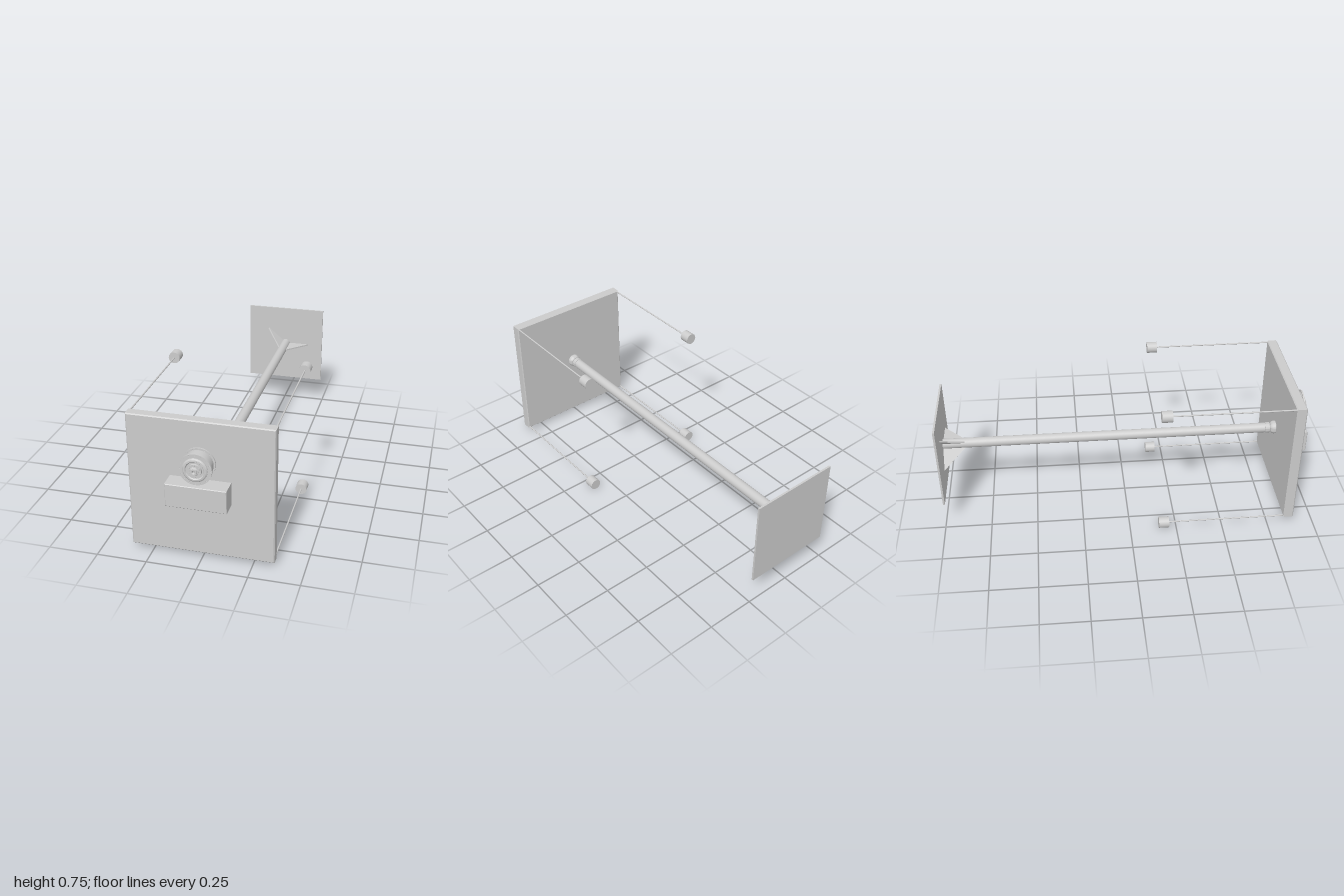
import * as THREE from 'three';
import { toCreasedNormals } from 'three/addons/utils/BufferGeometryUtils.js';

const material = new THREE.MeshStandardMaterial({ color: 0xcccccc, side: THREE.DoubleSide });

function add(parent, name, geometry, x = 0, y = 0, z = 0) {
  const mesh = new THREE.Mesh(geometry, material);
  mesh.name = name;
  mesh.position.set(x, y, z);
  parent.add(mesh);
  return mesh;
}

// Cylinder lying along z, from z0 to z1
function rod(parent, name, radius, x, y, z0, z1, sides = 32) {
  const g = new THREE.CylinderGeometry(radius, radius, z1 - z0, sides).rotateX(Math.PI / 2);
  return add(parent, name, g, x, y, (z0 + z1) / 2);
}

// Profile of [radius, z] points turned around the z axis
function turned(parent, name, points, y) {
  const profile = points.map(([r, z]) => new THREE.Vector2(r, z));
  const g = new THREE.LatheGeometry(profile, 48).rotateX(Math.PI / 2);
  return add(parent, name, toCreasedNormals(g, 0.5), 0, y, 0);
}

// Box with chamfered edges, spanning z0 to z1
function chamferedBox(parent, name, width, height, y, z0, z1, c) {
  const w = width / 2 - c, h = height / 2 - c;
  const shape = new THREE.Shape([[-w, -h], [w, -h], [w, h], [-w, h]].map(p => new THREE.Vector2(...p)));
  const g = new THREE.ExtrudeGeometry(shape, {
    depth: z1 - z0 - 2 * c, bevelEnabled: true, bevelSize: c, bevelThickness: c, bevelSegments: 1,
  });
  return add(parent, name, g, 0, y, z0 + c);
}

// Flat ring with a circle of small bolt holes
function drilledRing(parent, name, outer, inner, holeCircle, holeRadius, count, y, z, depth) {
  const shape = new THREE.Shape().absarc(0, 0, outer, 0, Math.PI * 2);
  shape.holes.push(new THREE.Path().absarc(0, 0, inner, 0, Math.PI * 2, true));
  for (let i = 0; i < count; i++) {
    const a = i / count * Math.PI * 2;
    shape.holes.push(new THREE.Path().absarc(
      Math.cos(a) * holeCircle, Math.sin(a) * holeCircle, holeRadius, 0, Math.PI * 2, true));
  }
  const g = new THREE.ExtrudeGeometry(shape, { depth, bevelEnabled: false, curveSegments: 24 });
  return add(parent, name, toCreasedNormals(g, 0.6), 0, y, z);
}

export function createModel() {
  const model = new THREE.Group();
  model.name = 'plateAssembly';
  const shaftY = 0.38, hubY = 0.525;

  // Front plate and the block mounted on it
  chamferedBox(model, 'frontPlate', 0.708, 0.706, 0.377, 0.843, 0.897, 0.005);
  chamferedBox(model, 'frontBlock', 0.295, 0.118, 0.377, 0.895, 0.983, 0.003);

  // Corner rods with end weights
  for (const x of [-0.346, 0.346]) {
    for (const y of [0.03, 0.724]) {
      rod(model, 'cornerRod', 0.004, x, y, 0.2, 0.846, 12);
      rod(model, 'cornerWeight', 0.03, x, y, 0.155, 0.21);
    }
  }

  // Long shaft, with collar and ball joint at the front plate
  rod(model, 'shaft', 0.027, 0, shaftY, -0.995, 0.79);
  turned(model, 'shaftCollar', [
    [0, 0.783], [0.029, 0.783], [0.029, 0.806], [0.024, 0.812], [0.021, 0.818], [0, 0.818],
  ], shaftY);
  turned(model, 'ballJoint', [
    [0, 0.812], [0.026, 0.814], [0.033, 0.822], [0.036, 0.831], [0.035, 0.84], [0.03, 0.845], [0, 0.845],
  ], shaftY);

  // Back plate and its three triangular gussets
  add(model, 'backPlate', new THREE.BoxGeometry(0.472, 0.472, 0.01), 0, shaftY, -0.995);
  for (const degrees of [0, 140, 239]) {
    const shape = new THREE.Shape();
    shape.moveTo(0.02, 0).lineTo(0.148, 0).lineTo(0.027, 0.12).lineTo(0.02, 0.12);
    const g = new THREE.ExtrudeGeometry(shape, { depth: 0.008, bevelEnabled: false })
      .translate(0, 0, -0.004).rotateX(Math.PI / 2);
    const gusset = add(model, 'gusset', g, 0, shaftY, -0.991);
    gusset.rotation.z = degrees * Math.PI / 180;
  }

  // Hub: drum, drilled flanges, stepped cap and bolted nose
  const hub = new THREE.Group();
  hub.name = 'hub';
  model.add(hub);
  turned(hub, 'hubDrum', [
    [0, 0.895], [0.068, 0.895], [0.07, 0.91], [0.07, 0.968], [0.06, 0.972], [0.06, 0.978],
    [0.054, 0.983], [0.046, 0.984], [0.042, 0.979], [0.034, 0.979], [0.033, 0.987], [0, 0.987],
  ], hubY);
  for (const z of [0.906, 0.966]) {
    drilledRing(hub, 'hubFlange', 0.079, 0.058, 0.0725, 0.0025, 16, hubY, z, 0.008);
  }
  turned(hub, 'hubNose', [
    [0.006, 0.985], [0.022, 0.985], [0.022, 0.991], [0.016, 0.994], [0.016, 1], [0.009, 1], [0.006, 0.997], [0.006, 0.985],
  ], hubY);
  for (let i = 0; i < 6; i++) {
    const a = (i + 0.5) / 6 * Math.PI * 2;
    rod(hub, 'hubBolt', 0.0055, Math.cos(a) * 0.027, hubY + Math.sin(a) * 0.027, 0.98, 0.992, 6);
  }
  return model;
}
